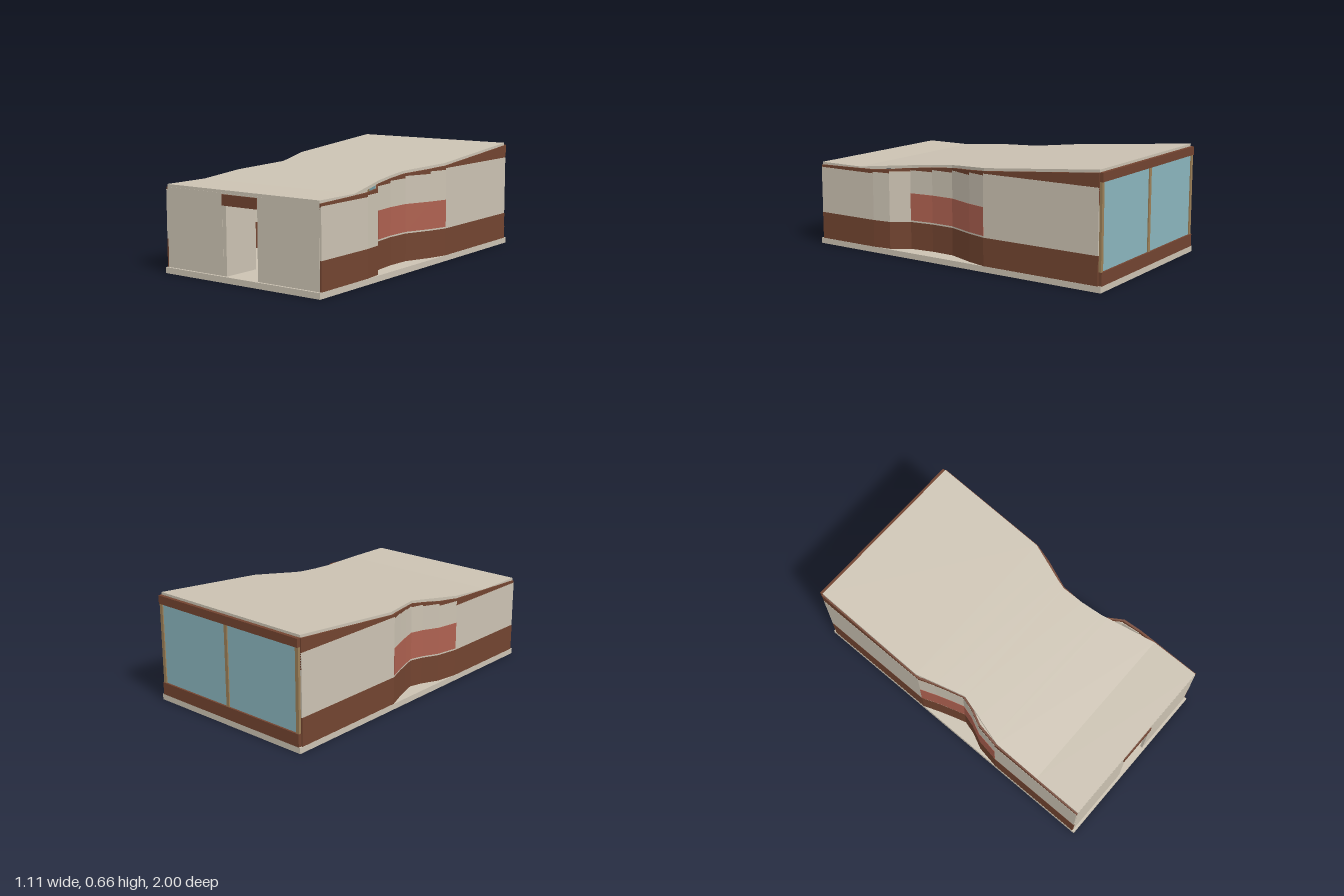
import * as THREE from 'three';

const mat = (name, color, extra) => Object.assign(new THREE.MeshStandardMaterial({ color }), { name }, extra);

// Solid through four-cornered sections [z, x0, x1, y0, y1], listed from front to back
function loft(sections) {
  const rings = sections.map(([z, x0, x1, y0, y1]) => [[x0, y0, z], [x1, y0, z], [x1, y1, z], [x0, y1, z]]);
  const pos = [];
  const quad = (a, b, c, d) => pos.push(...a, ...b, ...c, ...a, ...c, ...d);
  const last = rings[rings.length - 1];
  quad(...rings[0]);
  quad(last[3], last[2], last[1], last[0]);
  for (let k = 0; k < rings.length - 1; k++) {
    const f = rings[k], b = rings[k + 1];
    for (let i = 0; i < 4; i++) {
      const j = (i + 1) % 4;
      quad(f[i], b[i], b[j], f[j]);
    }
  }
  const g = new THREE.BufferGeometry();
  g.setAttribute('position', new THREE.Float32BufferAttribute(pos, 3));
  g.computeVertexNormals();
  return g;
}

export function createModel() {
  const group = new THREE.Group();
  const plaster = mat('plaster', 0xcbc2b2);
  const brown = mat('brownCladding', 0x724430);
  const red = mat('redPanel', 0xae6150);
  const glass = mat('glass', 0x8ab5bd);
  const timber = mat('timber', 0x9c8058);

  const add = (name, geo, m) => {
    const mesh = new THREE.Mesh(geo, m);
    mesh.name = name;
    group.add(mesh);
    return mesh;
  };
  // Box given by its min and max on each axis
  const box = (name, m, x0, x1, y0, y1, z0, z1) => {
    const g = new THREE.BoxGeometry(x1 - x0, y1 - y0, z1 - z0);
    g.translate((x0 + x1) / 2, (y0 + y1) / 2, (z0 + z1) / 2);
    return add(name, g, m);
  };

  // Roof height: flat at the front, rising to the back
  const roofTop = (z) => 0.515 + Math.max(0, 0.68 - z) * 0.0873;

  box('floorSlab', plaster, -0.557, 0.557, 0, 0.035, -1, 1);

  // Roof plate pinched on both sides: [z, left edge, right edge]
  const roofPlan = [
    [0.985, -0.545, 0.545], [0.68, -0.545, 0.545], [0.38, -0.545, 0.475], [0.34, -0.534, 0.465],
    [0.2, -0.494, 0.448], [0.06, -0.455, 0.443], [0, -0.472, 0.46],
    [-0.12, -0.508, 0.503], [-0.24, -0.545, 0.545], [-0.978, -0.545, 0.545],
  ];
  add('roof', loft(roofPlan.map(([z, a, b]) => [z, a, b, roofTop(z) - 0.018, roofTop(z)])), plaster);

  // Side walls: plan points [z, distance from the centre line], front to back
  const sides = [
    { label: 'left', s: 1, redFrom: 0.35, path: [[0.985, 0.553], [0.57, 0.553], [0.455, 0.54], [0.35, 0.468],
      [0.2, 0.451], [0.05, 0.455], [-0.12, 0.52], [-0.24, 0.553], [-0.98, 0.553]] },
    { label: 'right', s: -1, redFrom: 0.37, path: [[0.985, 0.553], [0.37, 0.553], [0.23, 0.53], [0.13, 0.483],
      [0.05, 0.461], [-0.03, 0.485], [-0.12, 0.515], [-0.22, 0.553], [-0.98, 0.553]] },
  ];
  for (const { label, s, redFrom, path } of sides) {
    // One wall section between an inner and outer offset from the path
    const section = ([z, x], inner, outer, y0, y1) => {
      const a = s * (x + inner), b = s * (x + outer);
      return [z, Math.min(a, b), Math.max(a, b), y0, y1];
    };
    const strip = (name, m, points, inner, outer, y0, y1) =>
      add(label + name, loft(points.map((p) => section(p, inner, outer, y0, y1(p[0])))), m);

    strip('LowerCladding', brown, path, -0.012, 0.003, 0.035, () => 0.2);
    strip('RoofFascia', brown, path, -0.012, 0.001, 0.47, (z) => roofTop(z) - 0.016);
    // Plaster panels with tops that step up along the wall
    for (let i = 0; i < path.length - 1; i++) {
      const top = roofTop(path[i][0]) - 0.03;
      strip('WallPanel' + i, plaster, [path[i], path[i + 1]], -0.016, 0.002, 0.2, () => top);
    }
    // Red band following the recess
    const recess = path.filter(([z]) => z <= redFrom && z > -0.5);
    strip('RedBand', red, recess, 0, 0.004, 0.21, () => 0.375);
  }

  // Front wall with doorway
  for (const s of [-1, 1]) {
    box('frontWall', plaster, s < 0 ? -0.545 : 0.125, s < 0 ? -0.125 : 0.545, 0.035, 0.492, 0.97, 0.986);
  }
  box('frontWallHead', plaster, -0.545, 0.545, 0.49, 0.499, 0.97, 0.986);
  box('doorLintel', brown, -0.125, 0.125, 0.43, 0.492, 0.968, 0.992);
  box('openDoor', plaster, -0.125, -0.1, 0.035, 0.43, 0.74, 0.985);

  // Glazed back wall
  box('backSill', brown, -0.547, 0.547, 0.035, 0.11, -1, -0.975);
  box('backHeader', brown, -0.547, 0.547, 0.595, 0.645, -1, -0.975);
  box('backGlass', glass, -0.545, 0.545, 0.11, 0.6, -0.988, -0.982);
  for (const x of [-0.535, 0, 0.535]) {
    box('backMullion', timber, x - 0.011, x + 0.011, 0.11, 0.6, -0.995, -0.975);
  }
  return group;
}
